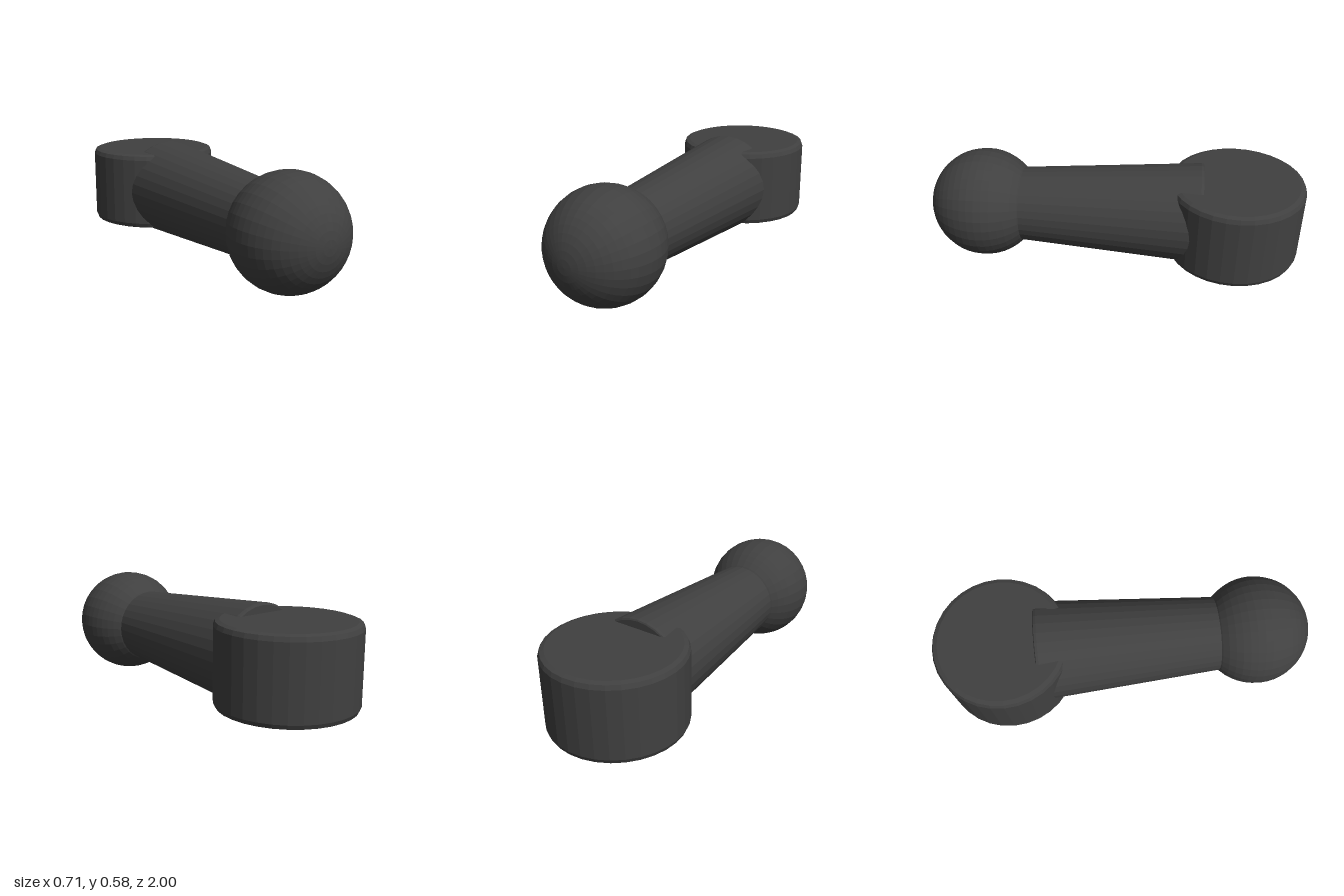
import * as THREE from 'three';

const SEGMENTS = 32;
const MID_Y = 0.2925;

// Lathe solid from [radius, height] pairs, listed bottom to top
function turned(name, points, material) {
  const profile = points.map(([r, h]) => new THREE.Vector2(r, h));
  const mesh = new THREE.Mesh(new THREE.LatheGeometry(profile, SEGMENTS), material);
  mesh.name = name;
  return mesh;
}

export function createModel() {
  const group = new THREE.Group();
  group.name = 'crankHandle';
  const plastic = new THREE.MeshStandardMaterial({ color: 0x404040, flatShading: true });
  plastic.name = 'dark grey plastic';

  // Upright round hub with softened rims
  const half = 0.215;
  const lowerRim = [[0, -half], [0.325, -half], [0.347, -half + 0.008], [0.356, -half + 0.03]];
  const upperRim = lowerRim.map(([r, h]) => [r, -h]).reverse();
  const hub = turned('hub', [...lowerRim, ...upperRim], plastic);
  hub.position.set(0, MID_Y + 0.0025, -0.644);
  group.add(hub);

  // Tapered arm, wide end sunk into the hub with its edge slightly rounded
  const arm = turned('arm', [
    [0, -0.472], [0.258, -0.472], [0.265, -0.468], [0.268, -0.455],
    [0.2, 0.498], [0, 0.498],
  ], plastic);
  arm.geometry.rotateX(Math.PI / 2);
  arm.position.y = MID_Y;
  group.add(arm);

  // Ball knob with its poles along the arm
  const knob = new THREE.Mesh(new THREE.SphereGeometry(0.2925, SEGMENTS, 24), plastic);
  knob.name = 'knob';
  knob.geometry.rotateX(Math.PI / 2);
  knob.position.set(0, MID_Y, 0.7075);
  group.add(knob);

  return group;
}
